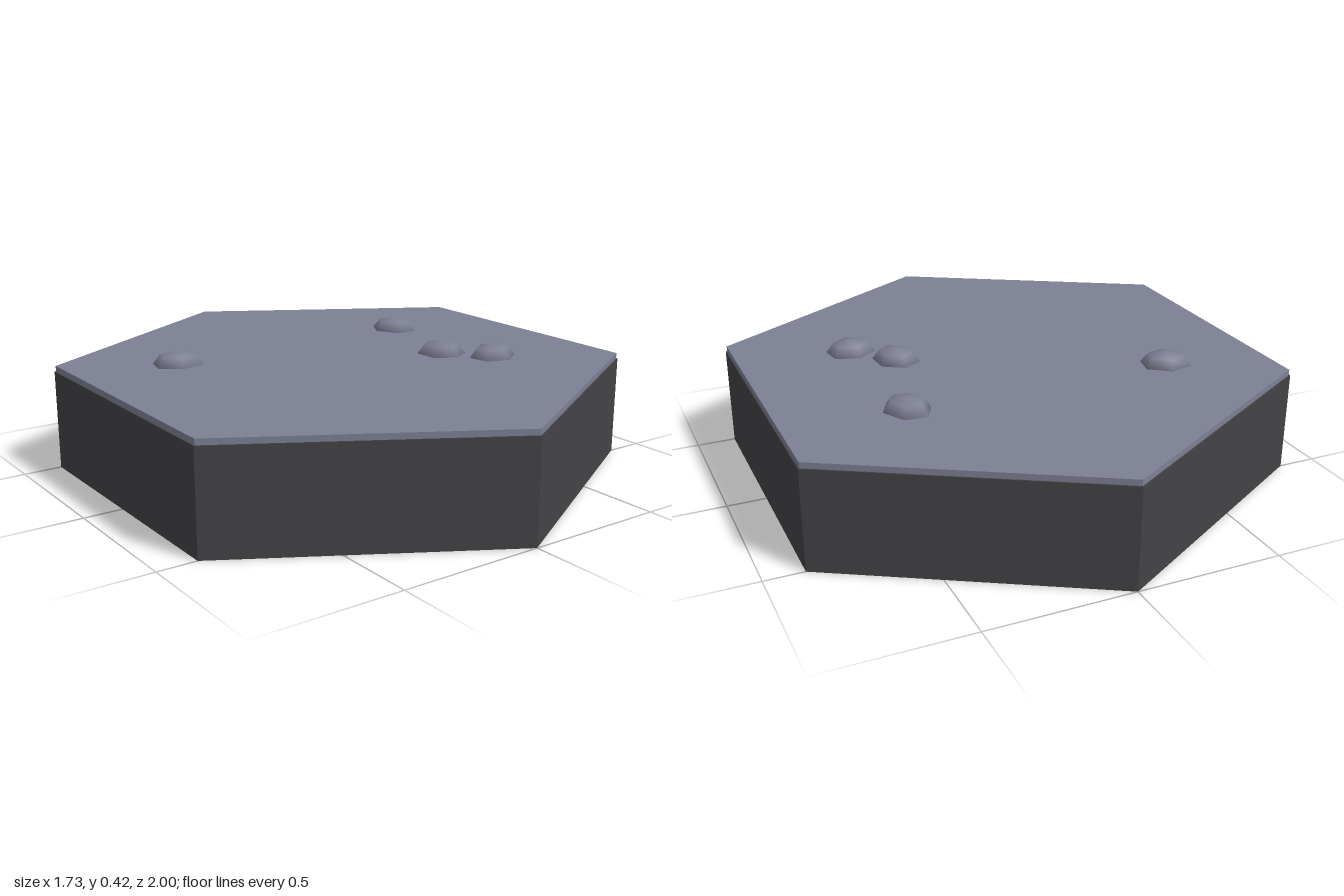
import * as THREE from 'three';

export function createModel() {
  const group = new THREE.Group();
  group.name = 'hexTile';

  const darkStone = new THREE.MeshStandardMaterial({ color: 0x434347, flatShading: true });
  darkStone.name = 'darkStone';
  const greyStone = new THREE.MeshStandardMaterial({ color: 0x7c8094, flatShading: true });
  greyStone.name = 'greyStone';
  const pebbleStone = new THREE.MeshStandardMaterial({ color: 0x7c7f92 });
  pebbleStone.name = 'pebbleStone';

  // Hexagonal prism with points towards front and back
  const addPrism = (name, radius, bottom, top, material) => {
    const mesh = new THREE.Mesh(new THREE.CylinderGeometry(radius, radius, top - bottom, 6), material);
    mesh.position.y = (bottom + top) / 2;
    mesh.name = name;
    group.add(mesh);
  };
  addPrism('base', 1, 0, 0.35, darkStone);
  addPrism('topSlab', 0.995, 0.35, 0.37, greyStone);

  // Squashed six-sided pebbles half sunk in the slab: x, z, x radius, z radius, turn
  const pebbleGeometry = new THREE.SphereGeometry(1, 6, 4);
  const pebbles = [
    [-0.503, -0.276, 0.076, 0.093, 1.36],
    [0.45, -0.28, 0.09, 0.075, -1.08],
    [0.344, 0.133, 0.077, 0.089, 0.54],
    [0.466, 0.272, 0.077, 0.09, -1.43],
  ];
  pebbles.forEach(([x, z, rx, rz, turn], i) => {
    const pebble = new THREE.Mesh(pebbleGeometry, pebbleStone);
    pebble.name = `pebble${i + 1}`;
    pebble.position.set(x, 0.37, z);
    pebble.scale.set(rx, 0.048, rz);
    pebble.rotation.y = turn;
    group.add(pebble);
  });

  return group;
}
